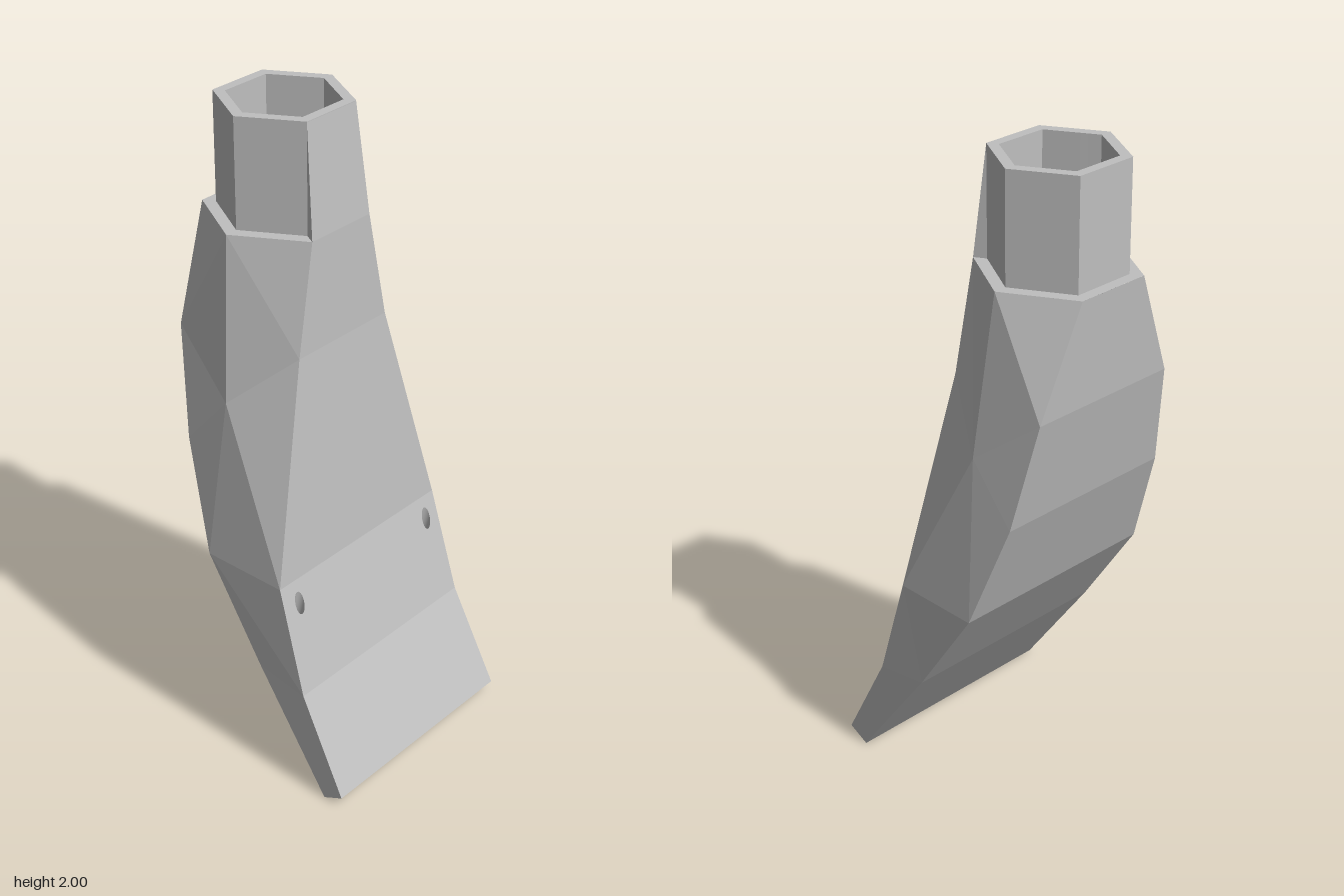
import * as THREE from 'three';

const grey = new THREE.MeshStandardMaterial({ color: 0xbfbfbf });
grey.name = 'plain grey';

// Flat-shaded mesh from convex polygons, fanned into triangles
function facets(name, polygons) {
  const pos = [];
  for (const p of polygons)
    for (let i = 1; i < p.length - 1; i++) pos.push(...p[0], ...p[i], ...p[i + 1]);
  const g = new THREE.BufferGeometry();
  g.setAttribute('position', new THREE.Float32BufferAttribute(pos, 3));
  g.computeVertexNormals();
  return named(name, g);
}
function named(name, geometry) {
  const m = new THREE.Mesh(geometry, grey);
  m.name = name;
  return m;
}
const mir = ([x, y, z]) => [x, y, -z];

const CX = -0.163, SHOULDER = 1.667;
const hex = r => Array.from({ length: 6 }, (_, i) => {
  const a = i * Math.PI / 3;
  return new THREE.Vector2(CX + r * Math.sin(a), -r * Math.cos(a));
});
// Flat hexagonal ring facing up
function hexRing(name, outer, inner, y) {
  const s = new THREE.Shape(hex(outer));
  s.holes.push(new THREE.Path(hex(inner)));
  return named(name, new THREE.ShapeGeometry(s).rotateX(-Math.PI / 2).translate(0, y, 0));
}

export function createModel() {
  const root = new THREE.Group();
  root.name = 'hollowCurvedSpout';

  // Edge points on the +z side, from the top down
  const T = [0.01, 2, 0.1];
  const B = [[-0.371, SHOULDER, 0.12], [-0.345, 1.333, 0.25], [-0.28, 1, 0.3],
    [-0.163, 0.667, 0.35], [0.04, 0.36, 0.356], [0.302, 0, 0.366]];
  const F = [[0.045, SHOULDER, 0.12], [0.053, 1.333, 0.185], [0.119, 0.667, 0.35],
    [0.215, 0.335, 0.36], [0.37, 0.035, 0.367]];
  const M0 = [CX, SHOULDER, 0.24], M1 = [-0.13, 1.17, 0.295];

  // Faceted flanks
  const side = [
    [B[0], B[1], M0], [M0, B[1], M1], [B[1], B[2], M1], [B[2], B[3], M1],
    [M0, M1, F[1], F[0]], [M1, F[2], F[1]], [M1, B[3], F[2]],
    [B[3], B[4], F[3], F[2]], [B[4], B[5], F[4], F[3]],
    [[0.01, SHOULDER, 0.1], F[0], T],
  ];
  root.add(facets('leftFlank', side));
  root.add(facets('rightFlank', side.map(p => p.map(mir).reverse())));

  // Back strip, ending with the tip
  const rear = [...B, F[4]];
  root.add(facets('backAndTip', rear.slice(1).map((b, i) =>
    [mir(rear[i]), mir(b), b, rear[i]])));

  // Front strip, leaving out the drilled panel
  const front = [T, ...F], strips = [];
  for (let i = 0; i < 5; i++)
    if (i !== 3) strips.push([front[i], front[i + 1], mir(front[i + 1]), mir(front[i])]);
  root.add(facets('frontFace', strips));

  // Drilled panel with two slanting holes
  const panel = new THREE.Group();
  panel.name = 'drilledPanel';
  const low = new THREE.Vector3(F[3][0], F[3][1], 0);
  const v = new THREE.Vector3(F[2][0], F[2][1], 0).sub(low);
  const len = v.length();
  v.normalize();
  const u = new THREE.Vector3(0, 0, -1);
  const n = u.clone().cross(v);
  panel.quaternion.setFromRotationMatrix(new THREE.Matrix4().makeBasis(u, v, n));
  panel.position.copy(low);
  const shape = new THREE.Shape([[-0.36, 0], [0.36, 0], [0.35, len], [-0.35, len]]
    .map(p => new THREE.Vector2(...p)));
  const rx = 0.0175, ry = 0.036, depth = 0.04, slant = 0.07, hv = len * 0.79;
  for (const hu of [-0.288, 0.298]) {
    shape.holes.push(new THREE.Path().absellipse(hu, hv, rx, ry, 0, Math.PI * 2));
    const tube = new THREE.CylinderGeometry(1, 1, 1, 24, 1, true);
    const p = tube.attributes.position;
    for (let i = 0; i < p.count; i++) {
      const t = p.getY(i) - 0.5;
      p.setXYZ(i, hu + p.getX(i) * rx, hv + p.getZ(i) * ry + t * slant, t * depth);
    }
    tube.computeVertexNormals();
    const floor = new THREE.CircleGeometry(1, 24).scale(rx, ry, 1)
      .translate(hu, hv - slant, -depth);
    panel.add(named('holeWall', tube), named('holeFloor', floor));
  }
  panel.add(named('panelFace', new THREE.ShapeGeometry(shape, 12)));
  root.add(panel);

  // Hexagonal collar and its ledges
  const h = 2 - SHOULDER;
  const collar = new THREE.CylinderGeometry(0.2, 0.2, h, 6, 1, true)
    .toNonIndexed().translate(CX, SHOULDER + h / 2, 0);
  collar.computeVertexNormals();
  root.add(named('collar', collar));
  root.add(hexRing('shoulderLedge', 0.24, 0.2, SHOULDER));
  root.add(hexRing('collarRim', 0.2, 0.165, 2));

  // Hexagonal bore: x, half width and floor height at each station
  const bore = [[-0.306, 0.0825, 1.25], [CX, 0.165, 0.835], [-0.13, 0.146, 0.74],
    [-0.113, 0.136, 0.74], [-0.02, 0.0825, 1.05]];
  const at = ([x, w, y], s, top) => [x, top ? 2 : y, s * w];
  const inside = [];
  for (let i = 0; i < 4; i++) {
    const a = bore[i], b = bore[i + 1];
    inside.push([at(a, 1), at(b, 1), at(b, -1), at(a, -1)]);
    inside.push([at(a, -1), at(b, -1), at(b, -1, true), at(a, -1, true)]);
    inside.push([at(a, 1, true), at(b, 1, true), at(b, 1), at(a, 1)]);
  }
  const s = bore[0], e = bore[4];
  inside.push([at(s, 1), at(s, -1), at(s, -1, true), at(s, 1, true)]);
  inside.push([at(e, -1), at(e, 1), at(e, 1, true), at(e, -1, true)]);
  root.add(facets('bore', inside));

  return root;
}
